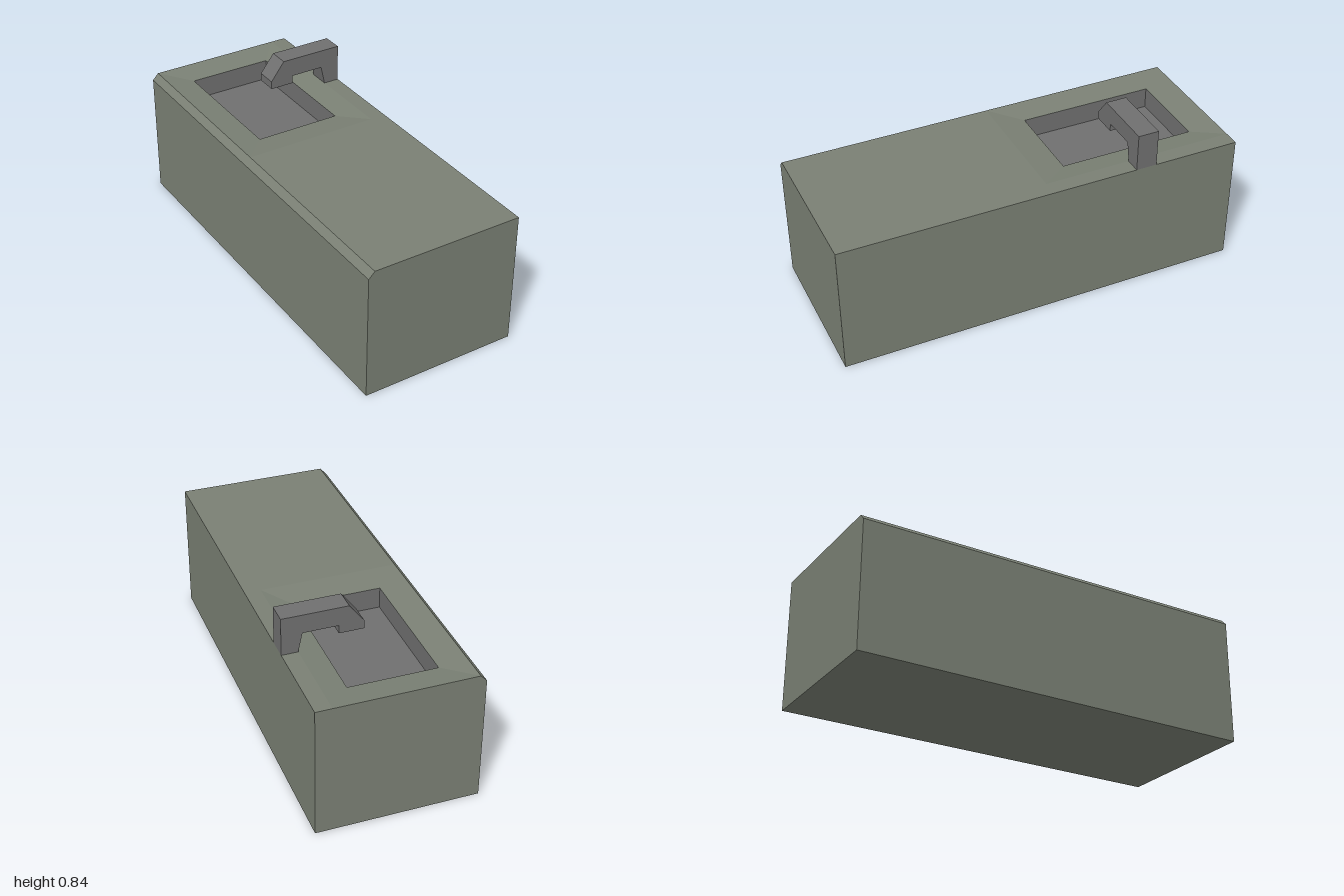
import * as THREE from 'three';

const X = 0.388, TOP = 0.656;

// Flat-shaded mesh from polygons (corners counter-clockwise seen from outside)
function facedMesh(name, polygons, material) {
  const pos = [];
  for (const p of polygons) {
    for (let i = 1; i < p.length - 1; i++) pos.push(...p[0], ...p[i], ...p[i + 1]);
  }
  const geometry = new THREE.BufferGeometry();
  geometry.setAttribute('position', new THREE.Float32BufferAttribute(pos, 3));
  geometry.computeVertexNormals();
  const mesh = new THREE.Mesh(geometry, material);
  mesh.name = name;
  return mesh;
}

// Horizontal rectangle, corners counter-clockwise seen from above
const rect = (x0, x1, z0, z1, y) => [[x0, y, z1], [x1, y, z1], [x1, y, z0], [x0, y, z0]];

// Four faces joining an outer/upper rectangle to an inner/lower one, facing inward and up
const funnel = (a, b) => a.map((p, i) => {
  const j = (i + 1) % 4;
  return [p, a[j], b[j], b[i]];
});

export function createModel() {
  const group = new THREE.Group();
  const cabinetMat = new THREE.MeshStandardMaterial({ color: 0x7a8074 });
  const metalMat = new THREE.MeshStandardMaterial({ color: 0x707070 });

  // Cabinet shell: section with one chamfered long edge, swept along z
  const section = [[-X, 0], [X, 0], [X, TOP], [-0.358, TOP], [-X, 0.625]];
  const at = (z) => section.map(([x, y]) => [x, y, z]);
  const front = at(1), back = at(-1);
  const shell = [front, [...back].reverse()];
  for (let i = 0; i < 5; i++) {
    if (i === 2) continue; // the worktop has the sink opening
    const j = (i + 1) % 5;
    shell.push([front[i], back[i], back[j], front[j]]);
  }
  group.add(facedMesh('cabinet', shell, cabinetMat));

  // Worktop: flat areas plus a shallow slope draining to the basin
  const drain = rect(-0.358, 0.31, -1, -0.04, TOP);
  const rim = rect(-0.225, 0.195, -0.86, -0.185, TOP - 0.018);
  const floor = rect(-0.225, 0.195, -0.86, -0.185, 0.533);
  group.add(facedMesh('worktop', [
    rect(-0.358, X, -0.04, 1, TOP),
    rect(0.31, X, -1, -0.04, TOP),
    ...funnel(drain, rim),
  ], cabinetMat));

  // Basin walls and floor
  group.add(facedMesh('basin', [...funnel(rim, floor), floor], metalMat));

  // Tap: side profile extruded to a flat bar
  const profile = new THREE.Shape([
    [X, TOP], [X, 0.842], [0.075, 0.842], [0.004, 0.75], [0.004, 0.71],
    [0.123, 0.71], [0.123, 0.75], [0.29, 0.75], [0.31, TOP],
  ].map(([x, y]) => new THREE.Vector2(x, y)));
  const tap = new THREE.Mesh(
    new THREE.ExtrudeGeometry(profile, { depth: 0.104, bevelEnabled: false }), metalMat);
  tap.position.z = -0.57;
  tap.name = 'tap';
  group.add(tap);

  return group;
}
